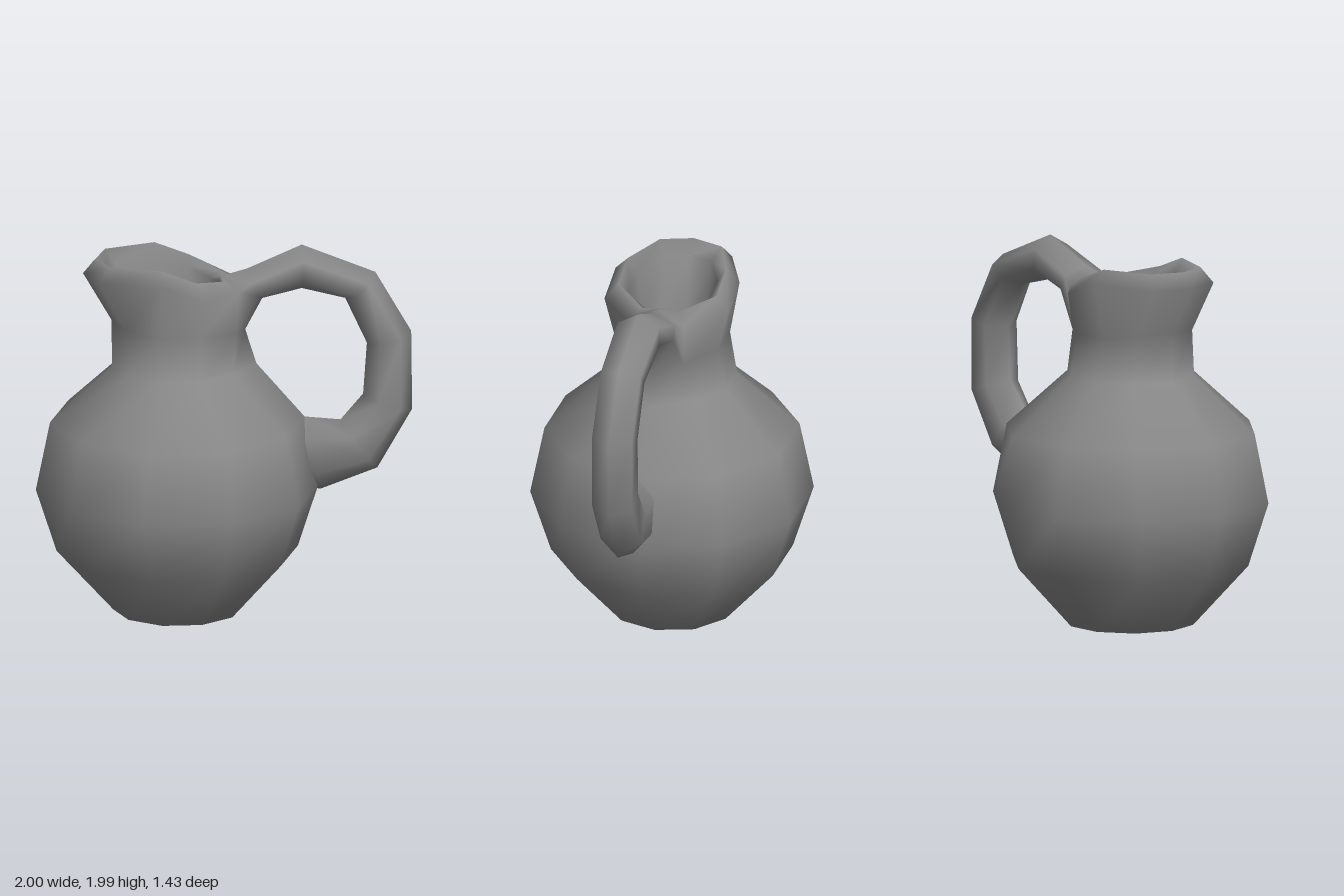
import * as THREE from 'three';

const material = new THREE.MeshStandardMaterial({ color: 0x888888 });

// Skin a list of closed rings of [x, y, z]; isOpen(j, i) leaves a quad out.
function loft(rings, name, isOpen = () => false) {
  const n = rings[0].length, index = [];
  for (let j = 0; j < rings.length - 1; j++) {
    for (let i = 0; i < n; i++) {
      if (isOpen(j, i)) continue;
      const a = j * n + i, b = j * n + (i + 1) % n;
      index.push(a, a + n, b, b, a + n, b + n);
    }
  }
  return makeMesh(rings.flat(), index, name);
}

// Close a ring with a flat fan facing up.
function cap(ring, name) {
  const n = ring.length, index = [];
  const centre = [0, 1, 2].map(k => ring.reduce((s, p) => s + p[k], 0) / n);
  for (let i = 0; i < n; i++) index.push(n, (i + 1) % n, i);
  return makeMesh([...ring, centre], index, name);
}

function makeMesh(points, index, name) {
  const geometry = new THREE.BufferGeometry();
  geometry.setAttribute('position', new THREE.Float32BufferAttribute(points.flat(), 3));
  geometry.setIndex(index);
  geometry.computeVertexNormals();
  const mesh = new THREE.Mesh(geometry, material);
  mesh.name = name;
  return mesh;
}

// Share normals wherever two meshes meet, so the joint shades smoothly.
function blendNormals(meshA, meshB) {
  const a = meshA.geometry.attributes, b = meshB.geometry.attributes;
  const p = new THREE.Vector3(), q = new THREE.Vector3();
  for (let i = 0; i < a.position.count; i++) {
    for (let j = 0; j < b.position.count; j++) {
      p.fromBufferAttribute(a.position, i);
      q.fromBufferAttribute(b.position, j);
      if (p.distanceTo(q) > 1e-5) continue;
      p.fromBufferAttribute(a.normal, i).add(q.fromBufferAttribute(b.normal, j)).normalize();
      a.normal.setXYZ(i, p.x, p.y, p.z);
      b.normal.setXYZ(j, p.x, p.y, p.z);
    }
  }
}

// Complete a ten-point ring from its six points on the +z half.
const mirrored = half => [...half, ...half.slice(1, 5).reverse().map(([x, y, z]) => [x, y, -z])];

// Regular ten-sided ring around the jug's axis.
function round(r, y) {
  return mirrored(Array.from({ length: 6 }, (_, i) => {
    const a = i * Math.PI / 5;
    return [-0.25 + r * Math.cos(a), y, r * Math.sin(a)];
  }));
}

export function createModel() {
  const group = new THREE.Group();
  group.name = 'jug';

  // Base and belly, up to the foot of the neck
  const belly = [[0, 0], [0.34, 0], [0.64, 0.33], [0.75, 0.67], [0.675, 1.04], [0.345, 1.34]]
    .map(([r, y]) => round(r, y));
  belly[5][0][0] = 0.17; // shoulder pulled out beneath the handle

  // Neck, flared spout, rolled rim and inner wall
  const neck = [
    [[0.11, 1.53, 0], [0.05, 1.55, 0.15], [-0.15, 1.57, 0.285], [-0.37, 1.57, 0.285], [-0.54, 1.59, 0.18], [-0.6, 1.6, 0]],
    [[0.01, 1.835, 0], [0.07, 1.78, 0.15], [-0.14, 1.79, 0.34], [-0.36, 1.87, 0.34], [-0.68, 1.86, 0.21], [-0.75, 1.86, 0]],
    [[-0.02, 1.83, 0], [-0.01, 1.825, 0.1], [-0.17, 1.87, 0.27], [-0.35, 1.94, 0.27], [-0.62, 1.94, 0.17], [-0.68, 1.94, 0]],
    [[-0.03, 1.8, 0], [-0.07, 1.79, 0.09], [-0.17, 1.82, 0.215], [-0.35, 1.86, 0.22], [-0.57, 1.87, 0.13], [-0.62, 1.87, 0]],
    [[-0.03, 1.58, 0], [-0.08, 1.58, 0.09], [-0.14, 1.58, 0.18], [-0.32, 1.58, 0.18], [-0.45, 1.58, 0.12], [-0.5, 1.58, 0]],
  ].map(mirrored);
  const floor = neck[4].map(([x, , z]) => [x, 1.36, z]);

  // The two neck quads facing +x are left open for the handle to grow from
  const body = loft([...belly, ...neck, floor], 'body', (j, i) => j === 6 && (i === 0 || i === 9));

  // Handle: outer x, y, inner x, y and half width of each six-sided section
  const sections = [
    [0.12, 1.865, 0.2, 1.7, 0.125],
    [0.41, 1.99, 0.41, 1.75, 0.115],
    [0.8, 1.83, 0.64, 1.69, 0.11],
    [0.99, 1.5, 0.755, 1.44, 0.11],
    [0.995, 1.07, 0.735, 1.16, 0.11],
    [0.81, 0.75, 0.615, 1.02, 0.11],
    [0.51, 0.64, 0.43, 1.04, 0.09],
    [0.38, 0.66, 0.33, 1.02, 0.08],
  ].map(([ox, oy, ix, iy, w]) =>
    [[0, 0], [0.27, -w], [0.73, -w], [1, 0], [0.73, w], [0.27, w]]
      .map(([t, z]) => [ox + (ix - ox) * t, oy + (iy - oy) * t, z]));
  const [low, high] = neck;
  const root = [high[0], high[9], low[9], low[0], low[1], high[1]];
  const handle = loft([root, ...sections], 'handle');
  blendNormals(body, handle);

  group.add(body, handle, cap(floor, 'innerFloor'));
  return group;
}
